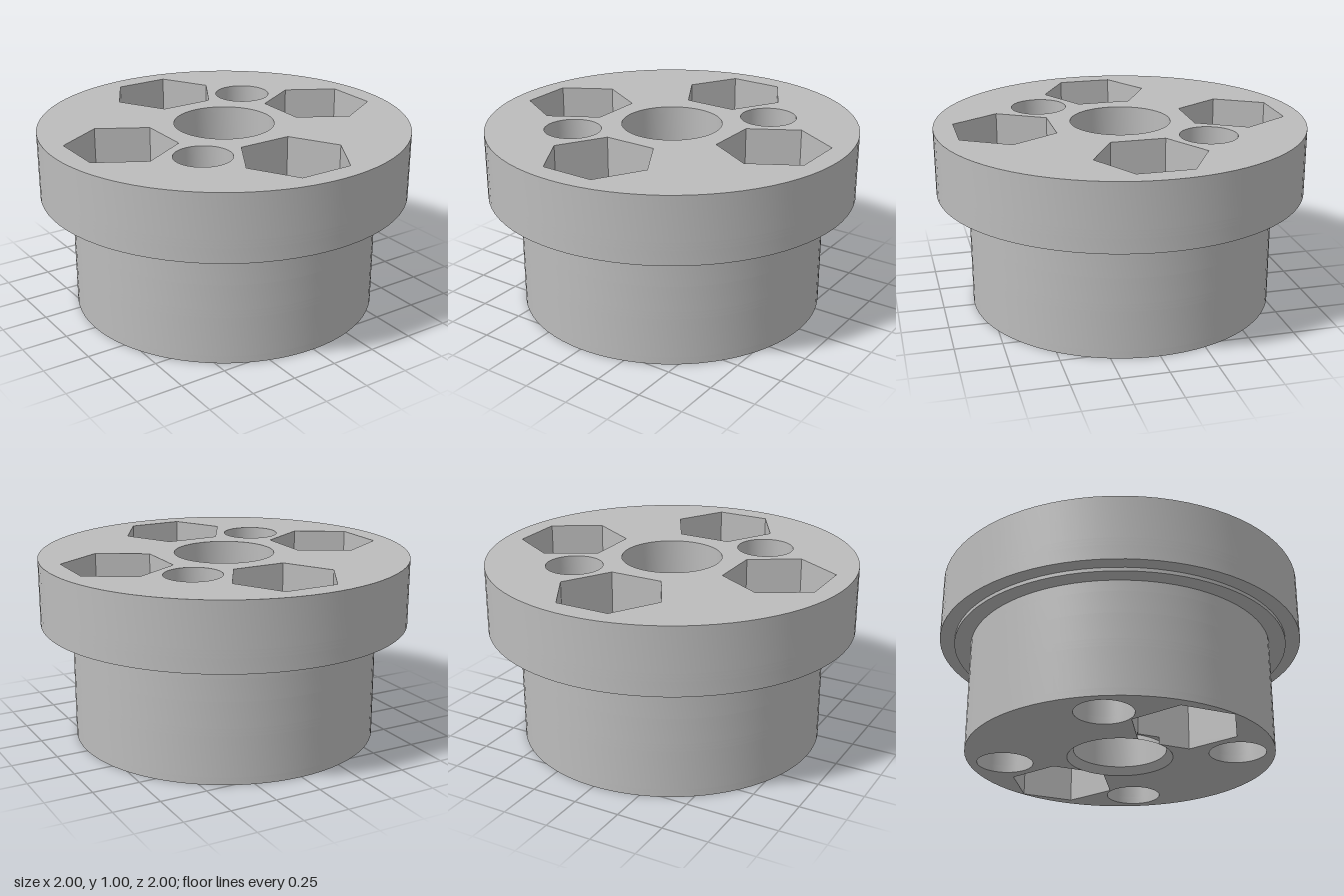
import * as THREE from 'three';
import { toCreasedNormals } from 'three/addons/utils/BufferGeometryUtils.js';

const HEX_R = 0.293;      // nut pocket, centre to corner
const HEX_A = 0.2537;     // nut pocket, centre to flat
const BOLT_R = 0.152;
const TOP_DIST = 0.63;    // bolt circle of the upper nuts
const LOW_POS = 0.378;    // diagonal position of the lower nuts
const CHAMFER_R = 0.285, BORE_R = 0.25;
const rad = THREE.MathUtils.degToRad;

// Plan outlines: shape y becomes -z
const round = (x, y, r) => new THREE.Path().absarc(x, y, r, 0, Math.PI * 2, false);

function polygon(x, y, points, turn) {
  const c = Math.cos(turn), s = Math.sin(turn);
  return new THREE.Path(points.map(([px, py]) => new THREE.Vector2(x + px * c - py * s, y + px * s + py * c)));
}
const rect = (w, h) => [[w, h], [-w, h], [-w, -h], [w, -h]];
const hexPoints = [0, 1, 2, 3, 4, 5].map(i => [HEX_R * Math.cos(i * Math.PI / 3), HEX_R * Math.sin(i * Math.PI / 3)]);

// One bolt hole at a given level: round, square, slot or hex
function boltHole(kind, x, y, turn) {
  if (kind === 'hex') return polygon(x, y, hexPoints, turn);
  if (kind === 'slot') return polygon(x, y, rect(HEX_A, BOLT_R), turn + rad(30));
  if (kind === 'square') return polygon(x, y, rect(BOLT_R, BOLT_R), turn + rad(30));
  return round(x, y, BOLT_R);
}

const upperHoles = kind => [0, 1, 2, 3].map(i => {
  const a = i * Math.PI / 2;
  return boltHole(kind, TOP_DIST * Math.cos(a), TOP_DIST * Math.sin(a), a + Math.PI / 2);
});
const lowerHoles = kind => [1, -1].map(s => boltHole(kind, s * LOW_POS, s * LOW_POS, 0));

// Bottom opening: chamfer circle joined with the two hex pockets it touches
function joinedOpening() {
  const path = new THREE.Path();
  const enter = Math.asin((LOW_POS - HEX_A) / CHAMFER_R);
  const normalDist = LOW_POS * (Math.cos(rad(30)) + 0.5) - HEX_A;
  const leave = rad(30) + Math.acos(normalDist / CHAMFER_R);
  for (const [s, base] of [[1, 0], [-1, Math.PI]]) {
    for (const i of [5, 0, 1, 2, 3]) {
      const x = s * (LOW_POS + hexPoints[i][0]), y = s * (LOW_POS + hexPoints[i][1]);
      if (s === 1 && i === 5) path.moveTo(x, y);
      else path.lineTo(x, y);
    }
    path.absarc(0, 0, CHAMFER_R, base + leave, base + Math.PI + enter, false);
  }
  path.closePath();
  return path;
}

export function createModel() {
  const model = new THREE.Group();
  model.name = 'flangedHub';
  const grey = new THREE.MeshStandardMaterial({ color: 0xbcbcbc, side: THREE.DoubleSide });
  grey.name = 'light grey';

  // A slice of the hub with its holes
  function slice(name, y0, y1, radius, holes) {
    const shape = new THREE.Shape().absarc(0, 0, radius, 0, Math.PI * 2, false);
    shape.holes = holes;
    const geo = new THREE.ExtrudeGeometry(shape, { depth: y1 - y0, bevelEnabled: false, curveSegments: 40 });
    geo.rotateX(-Math.PI / 2);
    geo.translate(0, y0, 0);
    const mesh = new THREE.Mesh(toCreasedNormals(geo, 0.5), grey);
    mesh.name = name;
    model.add(mesh);
  }

  // Bottom rim with the chamfered bore mouth
  slice('bottomRim', 0, 0.04, 0.83, [...upperHoles('round'), joinedOpening()]);
  const chamfer = new THREE.Mesh(new THREE.CylinderGeometry(BORE_R, CHAMFER_R, 0.04, 80, 1, true), grey);
  chamfer.name = 'boreChamfer';
  chamfer.position.y = 0.02;
  model.add(chamfer);

  // [name, bottom, top, radius, centre bore, upper bolt hole, lower bolt hole]
  const levels = [
    ['lowerNutPockets', 0.04, 0.26, 0.83, BORE_R, 'round', 'hex'],
    ['lowerSlotStep', 0.26, 0.28, 0.83, BORE_R, 'round', 'slot'],
    ['lowerSquareStep', 0.28, 0.30, 0.83, BORE_R, 'round', 'square'],
    ['lowerBore', 0.30, 0.44, 0.83, BORE_R, 'round', 'round'],
    ['middleWeb', 0.44, 0.56, 0.83, 0.13, 'round', 'round'],
    ['bodyNeck', 0.56, 0.62, 0.83, 0.27, 'round', 'round'],
    ['flangeStep', 0.62, 0.64, 0.92, 0.27, 'round', 'round'],
    ['flangeBase', 0.64, 0.72, 1, 0.27, 'round', 'round'],
    ['upperSquareStep', 0.72, 0.74, 1, 0.27, 'square', 'round'],
    ['upperSlotStep', 0.74, 0.76, 1, 0.27, 'slot', 'round'],
    ['upperNutPockets', 0.76, 1, 1, 0.27, 'hex', 'round'],
  ];
  for (const [name, y0, y1, radius, bore, upper, lower] of levels) {
    slice(name, y0, y1, radius, [round(0, 0, bore), ...upperHoles(upper), ...lowerHoles(lower)]);
  }
  return model;
}
